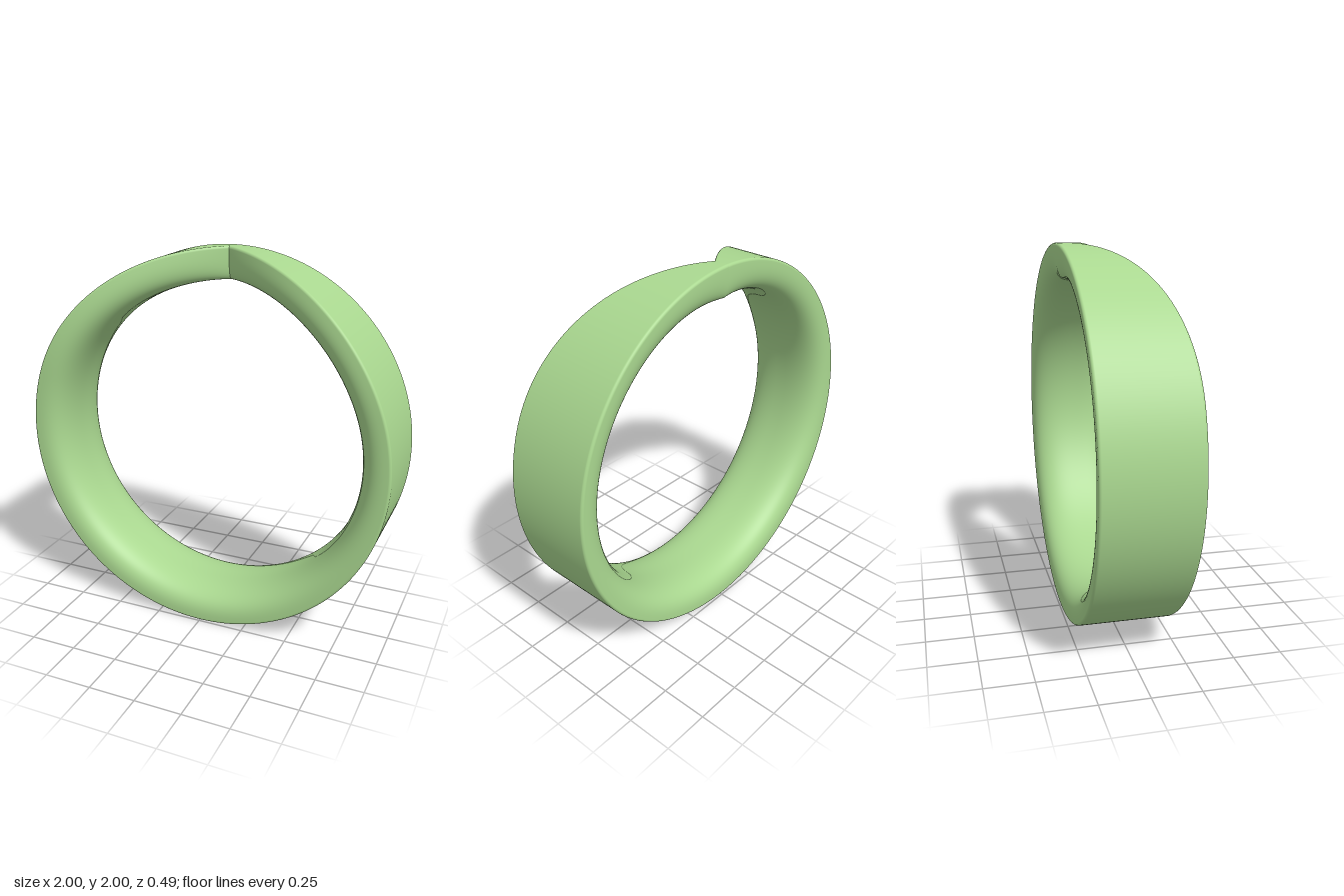
import * as THREE from 'three';

const OUTER = 1, INNER = 0.825, HALF = 0.245, CORNER = 0.014;
const AROUND = 240, POWER = 2.8;

// Front edge: dips to a sharp notch at the top, easing back to full width at the sides
function frontEdge(theta) {
  const t = Math.min(theta, 2 * Math.PI - theta);
  return HALF - 0.4 * Math.pow(Math.max(0, 1 - t / 1.25), 2.2);
}

// Cross-section as [radius, z]: flat outside, small outer corners, domed inside
function section(half) {
  const pts = [], depth = OUTER - CORNER - INNER, arc = 5, dome = 48;
  const corner = (i, side) => {
    const a = (i / arc) * Math.PI / 2;
    pts.push([OUTER - CORNER + CORNER * Math.cos(a), side * (half - CORNER + CORNER * Math.sin(a))]);
  };
  for (let i = 0; i < arc; i++) corner(i, 1);
  for (let i = 0; i <= dome; i++) {
    const a = (i / dome) * Math.PI, c = Math.cos(a);
    const d = Math.pow(Math.abs(Math.sin(a)), 2 / POWER);
    const z = Math.sign(c) * Math.pow(Math.abs(c), 2 / POWER);
    pts.push([OUTER - CORNER - depth * d, half * z]);
  }
  for (let i = arc - 1; i >= 0; i--) corner(i, -1);
  return pts;
}

// Sweep the section around the ring; the seam at the top keeps the notch crisp
function bandGeometry() {
  const pos = [], index = [];
  let n = 0;
  for (let i = 0; i <= AROUND; i++) {
    const theta = (i / AROUND) * Math.PI * 2;
    const front = frontEdge(theta);
    const mid = (front - HALF) / 2, half = (front + HALF) / 2;
    const pts = section(half);
    n = pts.length;
    for (const [r, z] of pts) pos.push(r * Math.sin(theta), 1 + r * Math.cos(theta), mid + z);
  }
  for (let i = 0; i < AROUND; i++) {
    for (let j = 0; j < n; j++) {
      const a = i * n + j, b = i * n + (j + 1) % n;
      index.push(a, b, a + n, b, b + n, a + n);
    }
  }
  const g = new THREE.BufferGeometry();
  g.setAttribute('position', new THREE.Float32BufferAttribute(pos, 3));
  g.setIndex(index);
  g.computeVertexNormals();
  return g;
}

export function createModel() {
  const group = new THREE.Group();
  group.name = 'ring';
  const band = new THREE.Mesh(bandGeometry(), new THREE.MeshStandardMaterial({ color: 0xaad890 }));
  band.name = 'notchedBand';
  group.add(band);
  return group;
}
